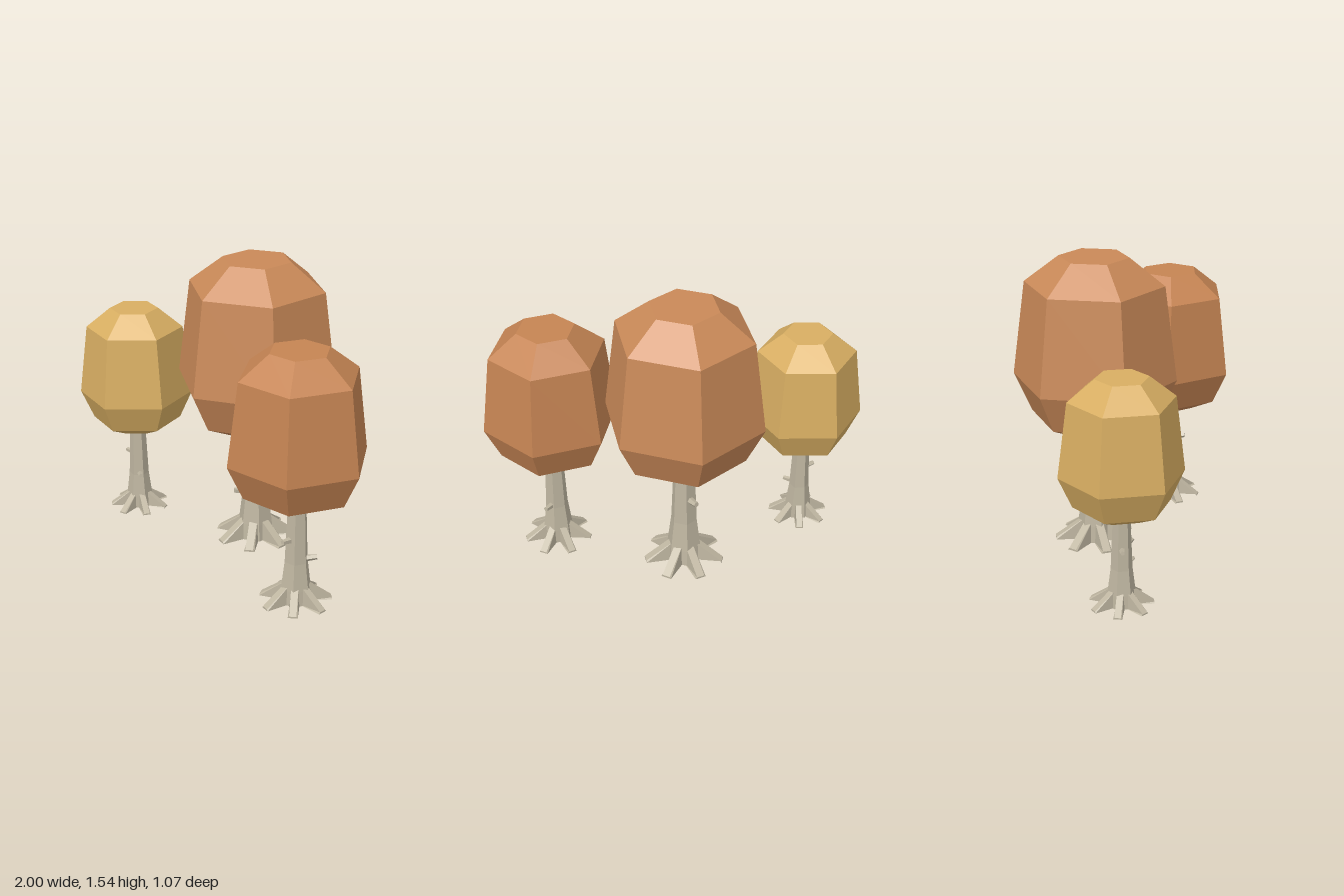
import * as THREE from 'three';

const mat = (name, color) => {
  const m = new THREE.MeshStandardMaterial({ color, flatShading: true });
  m.name = name;
  return m;
};

// Six-sided solid from [radius, height] rings, listed bottom to top
const hexSolid = (rings) =>
  new THREE.LatheGeometry(rings.map(([r, y]) => new THREE.Vector2(r, y)), 6);

// Wedge running out along +x: tall at the trunk, thin at the tip
function rootGeometry() {
  const g = new THREE.BoxGeometry(1, 1, 1);
  const p = g.attributes.position;
  for (let i = 0; i < p.count; i++) {
    const tip = p.getX(i) > 0, top = p.getY(i) > 0;
    const width = top ? 0.042 : 0.058;
    p.setXYZ(i, tip ? 0.212 : 0.05, top ? (tip ? 0.01 : 0.125) : 0, Math.sign(p.getZ(i)) * width / 2);
  }
  g.computeVertexNormals();
  return g;
}

export function createModel() {
  const model = new THREE.Group();
  model.name = 'autumnTrees';
  const bark = mat('greyBark', 0xbfb6a1);

  const trunkGeo = hexSolid([[0, 0], [0.1, 0], [0.092, 0.09], [0.071, 0.26], [0.055, 0.66], [0, 0.66]]);
  const crownGeo = hexSolid([[0, 0.632], [0.17, 0.632], [0.33, 0.708], [0.425, 0.91],
    [0.36, 1.405], [0.18, 1.545], [0, 1.545]]);
  const rootGeo = rootGeometry();
  const knotGeo = new THREE.CylinderGeometry(0.015, 0.021, 0.07, 5);
  knotGeo.rotateZ(-Math.PI / 2 + 0.12);

  // angle in degrees, turning from +x towards +z
  function makeTree(name, leaf, x, z, scale, crownWidth, angle) {
    const tree = new THREE.Group();
    tree.name = name;
    const add = (part, geo, material) => {
      const m = new THREE.Mesh(geo, material);
      m.name = part;
      tree.add(m);
      return m;
    };
    add('trunk', trunkGeo, bark);
    add('crown', crownGeo, leaf).scale.set(crownWidth, 1, crownWidth);

    for (let i = 0; i < 7; i++) add('root', rootGeo, bark).rotation.y = -i * Math.PI * 2 / 7;

    // Branch stubs on the trunk
    for (const [deg, y, r] of [[110, 0.277, 0.085], [247, 0.41, 0.077]]) {
      const a = THREE.MathUtils.degToRad(deg);
      const knot = add('branchStub', knotGeo, bark);
      knot.position.set(Math.cos(a) * r, y, Math.sin(a) * r);
      knot.rotation.y = -a;
    }
    tree.position.set(x, 0, z);
    tree.scale.setScalar(scale);
    tree.rotation.y = -THREE.MathUtils.degToRad(angle);
    model.add(tree);
  }

  makeTree('tallTree', mat('copperLeaves', 0xc98958), 0.005, -0.113, 1, 1, 0);
  makeTree('mediumTree', mat('rustLeaves', 0xc58453), 0.645, 0.204, 0.853, 0.985, -157.5);
  makeTree('smallTree', mat('goldLeaves', 0xd8ae62), -0.702, 0.128, 0.755, 0.95, -78.5);
  return model;
}
